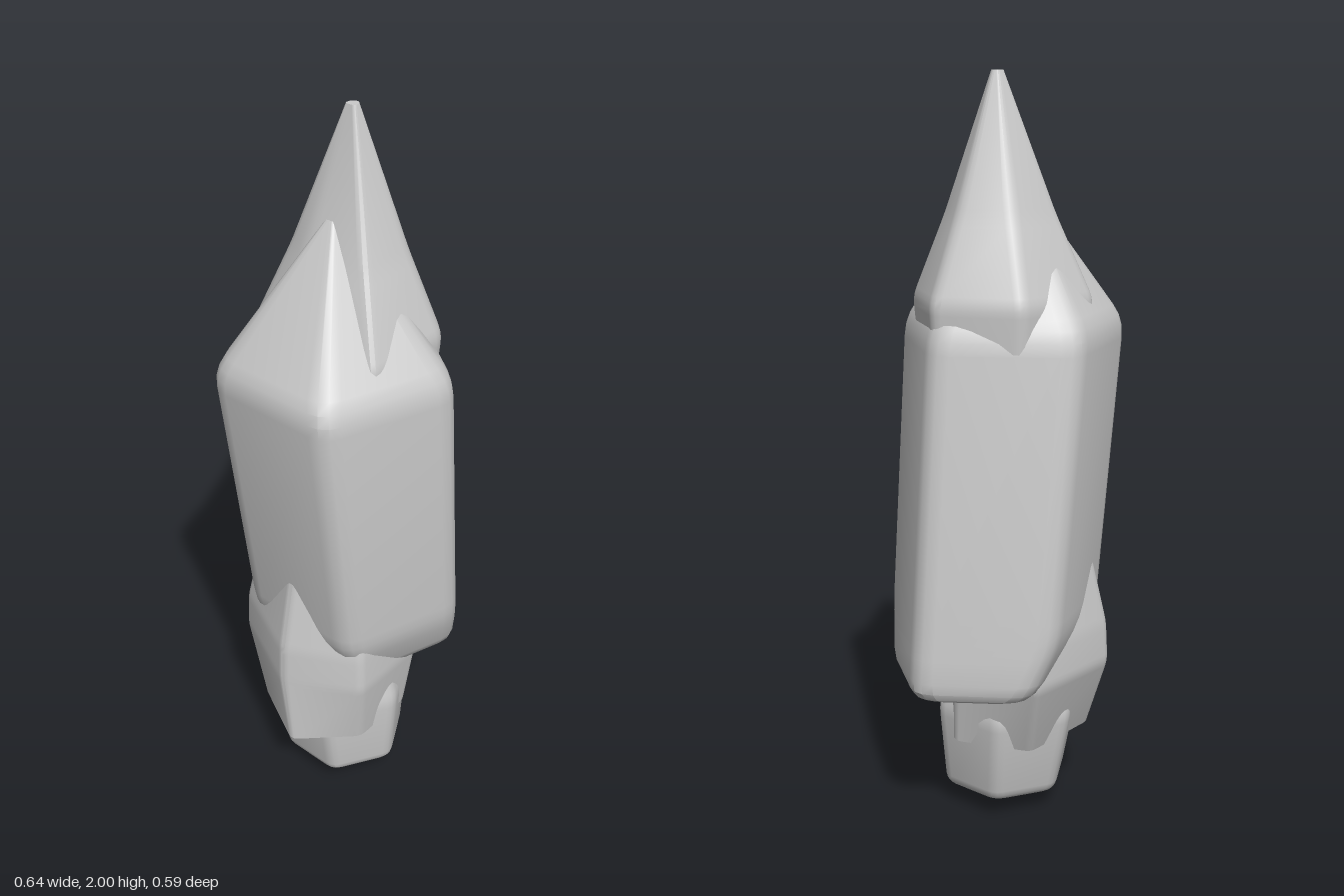
import * as THREE from 'three';
import { toCreasedNormals } from 'three/addons/utils/BufferGeometryUtils.js';

const STEPS = 3;

// Replace each corner of a polyline or loop with a short curve
function roundCorners(points, radius, closed) {
  const n = points.length, out = [];
  points.forEach((p, i) => {
    if (!closed && (i === 0 || i === n - 1)) { out.push(p.clone()); return; }
    const toward = (q) => {
      const length = p.distanceTo(q);
      return p.clone().lerp(q, Math.min(radius, length * 0.4) / Math.max(length, 1e-6));
    };
    const curve = new THREE.QuadraticBezierCurve3(
      toward(points[(i + n - 1) % n]), p, toward(points[(i + 1) % n]));
    out.push(...curve.getPoints(STEPS));
  });
  return out;
}

// Loft corner rings (bottom to top) into a crystal with softened edges
function crystal(name, rings, radius) {
  const columns = rings[0].map((_, j) => roundCorners(rings.map((r) => r[j]), radius, false));
  const loops = columns[0].map((_, i) => roundCorners(columns.map((c) => c[i]), radius, true));
  const n = loops[0].length, positions = [];
  const tri = (...corners) => corners.forEach((v) => positions.push(v.x, v.y, v.z));
  for (let i = 0; i < loops.length - 1; i++) {
    for (let j = 0; j < n; j++) {
      const k = (j + 1) % n, lo = loops[i], hi = loops[i + 1];
      tri(lo[j], hi[j], lo[k]);
      tri(lo[k], hi[j], hi[k]);
    }
  }
  const middle = (loop) => loop.reduce((s, v) => s.add(v), new THREE.Vector3()).divideScalar(n);
  const first = loops[0], last = loops[loops.length - 1];
  const bottom = middle(first), top = middle(last);
  for (let j = 0; j < n; j++) {
    const k = (j + 1) % n;
    tri(bottom, first[j], first[k]);
    tri(top, last[k], last[j]);
  }
  const geometry = new THREE.BufferGeometry();
  geometry.setAttribute('position', new THREE.Float32BufferAttribute(positions, 3));
  const mesh = new THREE.Mesh(toCreasedNormals(geometry, 0.5),
    new THREE.MeshStandardMaterial({ color: 0xcccccc }));
  mesh.name = name;
  return mesh;
}

// Regular ring of corners
function ring(sides, x, y, z, r, turn = 0) {
  return Array.from({ length: sides }, (_, i) => {
    const a = turn + (i / sides) * Math.PI * 2;
    return new THREE.Vector3(x + r * Math.cos(a), y, z + r * Math.sin(a));
  });
}

// Irregular ring from a footprint, scaled about a centre
const footprint = (corners, y, scale = 1, cx = 0, cz = 0) => corners.map(([x, z]) =>
  new THREE.Vector3(cx + (x - cx) * scale, y, cz + (z - cz) * scale));

export function createModel() {
  const group = new THREE.Group();

  // Large leaning five-sided crystal
  group.add(crystal('mainCrystal', [
    ring(5, 0.13, 0.36, 0, 0.02),
    ring(5, 0.085, 0.41, 0, 0.258),
    ring(5, 0.02, 0.57, 0, 0.308),
    ring(5, -0.063, 1.36, 0, 0.322),
    ring(5, -0.07, 1.74, 0, 0.02),
  ], 0.05));

  // Pointed crystal at the top
  const tip = [[0.24, 0.015], [0.105, 0.205], [-0.16, 0.208], [-0.185, -0.09], [-0.135, -0.22], [0.135, -0.2]];
  group.add(crystal('topCrystal', [
    footprint(tip, 1.05, 0.85),
    footprint(tip, 1.43),
    footprint(tip, 1.64, 0.63),
    footprint(tip, 2.0, 0.07),
  ], 0.025));

  // Broken collar crystal round the lower end
  const low = [[0.14, 0.03], [0.04, 0.165], [-0.16, 0.17], [-0.3, 0.03], [-0.2, -0.17], [0.06, -0.17]];
  const mid = [[0.15, 0.02], [0.05, 0.195], [-0.19, 0.2], [-0.3, 0.0], [-0.185, -0.25], [0.125, -0.24]];
  const high = [[0.15, 0.02], [0.05, 0.17], [-0.14, 0.16], [-0.225, 0.0], [-0.12, -0.19], [0.13, -0.17]];
  group.add(crystal('collarCrystal', [
    footprint(low, 0.22),
    footprint(mid, 0.43),
    footprint(mid, 0.54, 0.98, -0.05),
    footprint(high, 0.9),
  ], 0.02));

  // Small blunt crystal at the foot
  const turn = Math.PI / 6;
  group.add(crystal('footCrystal', [
    ring(6, -0.055, 0.0, 0.005, 0.008, turn),
    ring(6, -0.05, 0.06, 0.012, 0.178, turn),
    ring(6, -0.05, 0.3, -0.005, 0.212, turn),
    ring(6, -0.05, 0.65, 0, 0.12, turn),
  ], 0.025));

  return group;
}
